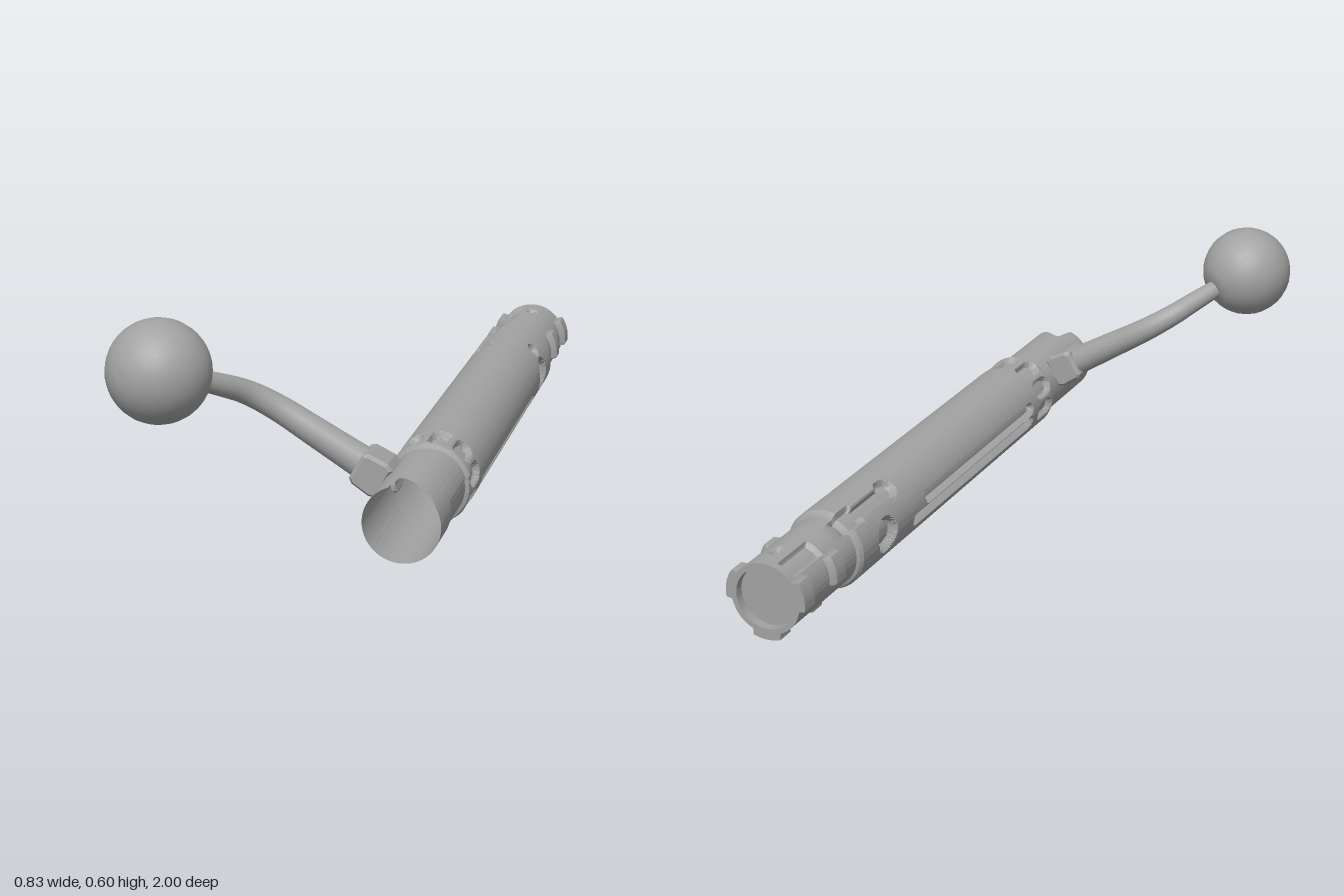
import * as THREE from 'three';
import { toCreasedNormals } from 'three/addons/utils/BufferGeometryUtils.js';

const CX = 0.305, CY = 0.113, R = 0.11; // bolt axis and main radius
const RAD = Math.PI / 180;

// Outer profile from rear to head: z, radius, ring spacing up to the next point
const PROFILE = [
  [0.83, 0.098, 0.01], [0.72, 0.098, 0.04], [0.69, 0.098, 0.005], [0.675, 0.098, 0.05],
  [0.525, 0.098, 0.005], [0.521, 0.108, 0.005], [0.516, R, 0.0055], [0.325, R, 0.08],
  [-0.29, R, 0.006], [-0.69, R, 0.01], [-0.7, 0.104, 0.005], [-0.704, 0.096, 0.04],
  [-0.775, 0.096, 0.0055], [-1, 0.096, 0.01],
];

// Cuts (positive depth) and raised lugs (negative): angle, half width, z range, depth, corner radius
const FEATURES = [];
const feature = (deg, half, z0, z1, depth, round = half) => FEATURES.push({ deg, half, z0, z1, depth, round });
// ring of short thumb flutes
for (const deg of [-26, 10, 46, 82, 118, 154, 190]) feature(deg, 0.025, 0.415, 0.51, 0.018);
// long side flutes
feature(-23, 0.019, -0.43, 0.375, 0.02);
feature(171, 0.017, -0.33, 0.375, 0.02);
feature(193, 0.017, -0.4, 0.375, 0.02);
// round ports
for (const deg of [1, 179]) feature(deg, 0.048, -0.6, -0.504, 0.025);
for (const deg of [42, -38]) feature(deg, 0.021, -0.572, -0.53, 0.02);
// keyhole slot
feature(123, 0.031, -0.5, -0.438, 0.02);
feature(123, 0.016, -0.72, -0.46, 0.016, 0.004);
feature(123, 0.029, -0.72, -0.635, 0.016, 0.004);
// locking lugs in two rows
for (const deg of [13, 167, 270]) {
  feature(deg, 0.042, -0.842, -0.785, -0.016, 0.003);
  feature(deg, 0.042, -1.05, -0.945, -0.016, 0.003);
}
// extractor pocket and pin holes
feature(123, 0.03, -0.975, -0.84, 0.012, 0.003);
feature(84, 0.018, -0.938, -0.902, 0.015);
feature(-13, 0.014, -0.928, -0.9, 0.015);
// shallow relief on the rear sleeve
feature(-22, 0.07, 0.5, 0.69, 0.004, 0.004);

function surfaceRadius(base, theta, z) {
  let cut = 0, raise = 0;
  for (const f of FEATURES) {
    let d = theta - f.deg * RAD;
    d = Math.abs(Math.atan2(Math.sin(d), Math.cos(d))) * R;
    const qx = d - f.half + f.round;
    const qz = Math.abs(z - (f.z0 + f.z1) / 2) - (f.z1 - f.z0) / 2 + f.round;
    const sd = Math.hypot(Math.max(qx, 0), Math.max(qz, 0)) + Math.min(Math.max(qx, qz), 0) - f.round;
    const k = THREE.MathUtils.clamp(0.5 - sd / 0.005, 0, 1) * f.depth;
    cut = Math.max(cut, k);
    raise = Math.min(raise, k);
  }
  return base - cut - raise;
}

// Cam notch in the rear rim, as a share of the last 0.09 of the sleeve
const NOTCH = [[30, 0], [45, 0.2], [62, 0.24], [94, 0.7], [102, 0.7], [110, 0]];
function notch(deg) {
  for (let i = 1; i < NOTCH.length; i++) {
    const [a, u] = NOTCH[i - 1], [b, v] = NOTCH[i];
    if (deg >= a && deg <= b) return u + (v - u) * (deg - a) / (b - a);
  }
  return 0;
}

function bodyGeometry() {
  const rings = [];
  PROFILE.forEach(([z, r, step], i) => {
    const next = PROFILE[i + 1];
    if (!next) return rings.push([z, r]);
    const n = Math.max(1, Math.round((z - next[0]) / step));
    for (let k = 0; k < n; k++) rings.push([z + (next[0] - z) * k / n, r + (next[1] - r) * k / n]);
  });
  const N = 180, pos = [], idx = [];
  rings.forEach(([z, r], i) => {
    for (let j = 0; j < N; j++) {
      const t = j / N * Math.PI * 2, rr = surfaceRadius(r, t, z);
      const zz = z > 0.74 ? 0.74 + (z - 0.74) * (1 - notch(j * 360 / N)) : z;
      pos.push(rr * Math.cos(t), rr * Math.sin(t), zz);
      if (i === rings.length - 1) continue;
      const a = i * N + j, b = i * N + (j + 1) % N;
      idx.push(a, a + N, b, b, a + N, b + N);
    }
  });
  // head rim: flat ring, then a short wall inward
  const last = (rings.length - 1) * N;
  for (const z of [-1, -0.975]) {
    const start = pos.length / 3, prev = z === -1 ? last : start - N;
    for (let j = 0; j < N; j++) {
      const t = j / N * Math.PI * 2, k = (j + 1) % N;
      pos.push(0.082 * Math.cos(t), 0.082 * Math.sin(t), z);
      idx.push(prev + j, start + j, prev + k, prev + k, start + j, start + k);
    }
  }
  const g = new THREE.BufferGeometry();
  g.setAttribute('position', new THREE.Float32BufferAttribute(pos, 3));
  g.setIndex(idx);
  return toCreasedNormals(g, 0.5);
}

// Tube whose radius narrows from r0 to r1
function taperedTube(curve, n, r0, r1, sides) {
  const g = new THREE.TubeGeometry(curve, n, 1, sides);
  const p = g.attributes.position, v = new THREE.Vector3();
  for (let i = 0; i <= n; i++) {
    const c = curve.getPointAt(i / n), r = r0 + (r1 - r0) * i / n;
    for (let j = 0; j <= sides; j++) {
      const k = i * (sides + 1) + j;
      v.fromBufferAttribute(p, k).sub(c).multiplyScalar(r).add(c);
      p.setXYZ(k, v.x, v.y, v.z);
    }
  }
  return g;
}

export function createModel() {
  const group = new THREE.Group();
  const steel = new THREE.MeshStandardMaterial({ color: 0xa2a2a2, side: THREE.DoubleSide });
  steel.name = 'steel';
  const add = (name, geometry, parent = group) => {
    const m = new THREE.Mesh(geometry, steel);
    m.name = name;
    parent.add(m);
    return m;
  };

  // hollow body with its closed head
  const bolt = new THREE.Group();
  bolt.name = 'bolt';
  bolt.position.set(CX, CY, 0);
  group.add(bolt);
  add('boltBody', bodyGeometry(), bolt);
  add('boltFace', new THREE.CircleGeometry(0.082, 48).rotateY(Math.PI), bolt).position.z = -0.975;

  // handle root block, pointing up and outward
  const outline = [[0.09, -0.042], [0.11, -0.05], [0.162, -0.046], [0.175, -0.036],
    [0.175, 0.036], [0.162, 0.046], [0.11, 0.05], [0.09, 0.042]];
  const root = new THREE.Shape(outline.map(([x, y]) => new THREE.Vector2(x, y)));
  const rootMesh = add('handleRoot', new THREE.ExtrudeGeometry(root, {
    depth: 0.084, bevelThickness: 0.01, bevelSize: 0.008, bevelOffset: -0.008, bevelSegments: 1,
  }).translate(0, 0, 0.59), bolt);
  rootMesh.rotation.z = 150 * RAD;

  // curved, tapering handle
  const path = new THREE.CatmullRomCurve3([
    [0.18, 0.185, 0.632], [0.05, 0.262, 0.634], [-0.06, 0.328, 0.64], [-0.125, 0.369, 0.67],
    [-0.175, 0.402, 0.73], [-0.22, 0.43, 0.79],
  ].map((p) => new THREE.Vector3(...p)));
  add('handle', taperedTube(path, 28, 0.043, 0.026, 20));

  // ball knob, flattened where the handle enters
  const profile = [new THREE.Vector2(0, -0.12)];
  for (let i = 0; i <= 16; i++) {
    const a = -Math.PI / 2 + 0.39 + (Math.PI - 0.39) * i / 16;
    profile.push(new THREE.Vector2(Math.max(0, 0.13 * Math.cos(a)), 0.13 * Math.sin(a)));
  }
  const knob = add('ballKnob', toCreasedNormals(new THREE.LatheGeometry(profile, 28), 0.5));
  knob.position.set(-0.285, 0.468, 0.87);
  knob.quaternion.setFromUnitVectors(new THREE.Vector3(0, 1, 0), new THREE.Vector3(-0.11, 0.066, 0.14).normalize());
  return group;
}
